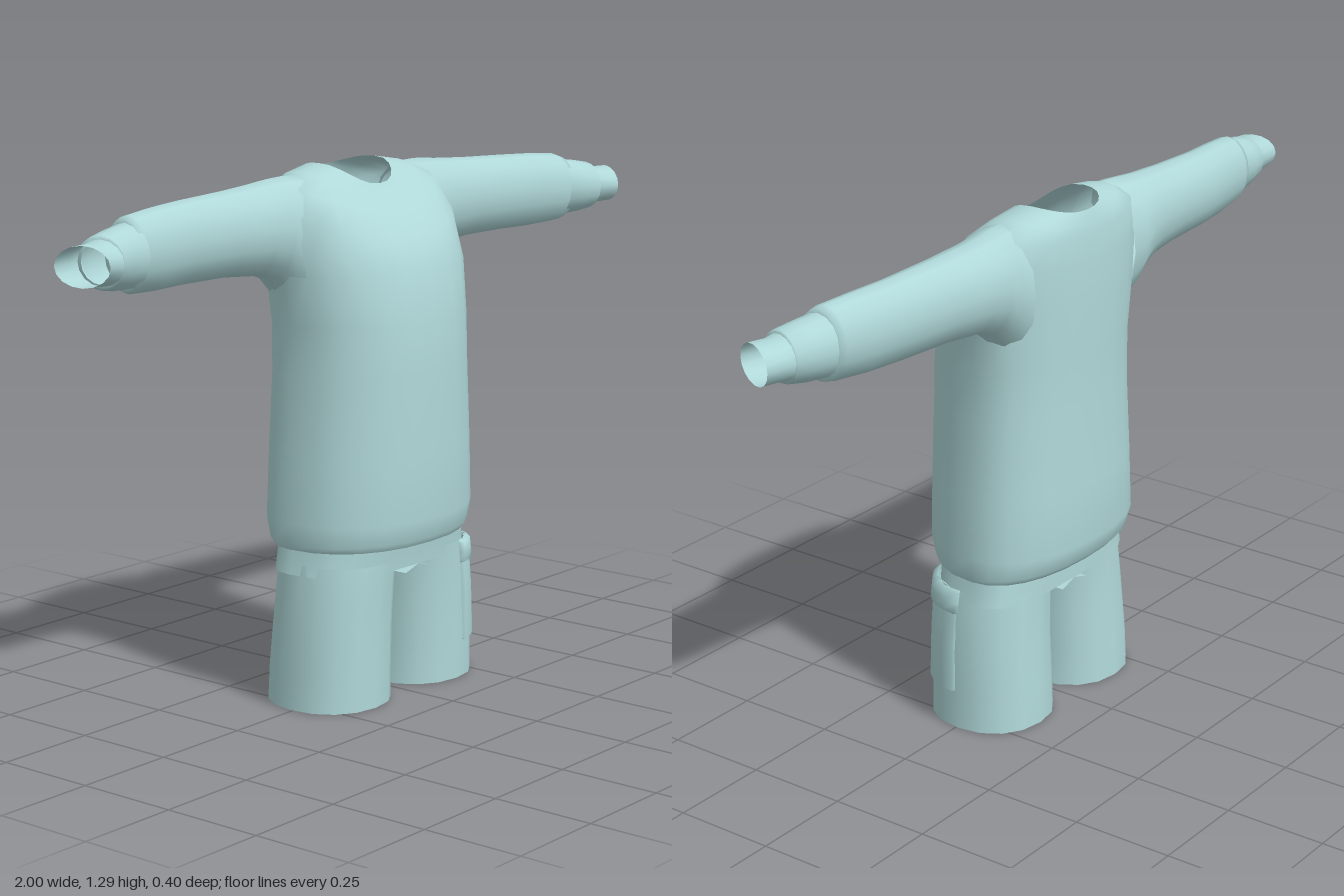
import * as THREE from 'three';

const TAU = Math.PI * 2;
const fabric = new THREE.MeshStandardMaterial({ color: 0xb0d8d9, side: THREE.DoubleSide });
fabric.name = 'paleTealFabric';

// Skin a surface over rows of points; closed rows share their seam, skip leaves openings
function loft(name, rows, closed = true, skip = () => false) {
  const n = rows[0].length, pos = [], idx = [];
  rows.forEach(r => r.forEach(p => pos.push(p.x, p.y, p.z)));
  for (let i = 0; i < rows.length - 1; i++) {
    for (let j = 0; j < (closed ? n : n - 1); j++) {
      const k = (j + 1) % n;
      const mid = rows[i][j].clone().add(rows[i][k]).add(rows[i + 1][j]).add(rows[i + 1][k]).multiplyScalar(0.25);
      if (skip(mid)) continue;
      const a = i * n + j, b = i * n + k, c = a + n, d = b + n;
      idx.push(a, c, b, b, c, d);
    }
  }
  const g = new THREE.BufferGeometry();
  g.setAttribute('position', new THREE.Float32BufferAttribute(pos, 3));
  g.setIndex(idx);
  g.computeVertexNormals();
  const mesh = new THREE.Mesh(g, fabric);
  mesh.name = name;
  return mesh;
}

const around = (n, f) => Array.from({ length: n }, (_, i) => f(i / n * TAU));
const power = (v, n) => Math.sign(v) * Math.abs(v) ** (2 / n);

// Body section: half width, middle z, front y and z, side y, back y and z
function bodyRing([w, zm, fy, fz, sy, by, bz], n = 2.3) {
  return around(24, t => {
    const s = Math.sin(t), k = Math.abs(power(s, n));
    return new THREE.Vector3(
      w * power(Math.cos(t), n),
      sy + ((s > 0 ? fy : by) - sy) * s * s,
      zm + ((s > 0 ? fz : bz) - zm) * k);
  });
}
const flat = (y, w, fz, bz) => [w, -0.03, y, fz, y, y, bz];

// Sleeve section: x, low y, high y, back z, front z, slant of the opening
function sleeveRing(side, [x, lo, hi, bz, fz, slant = 0]) {
  return around(16, t => {
    const s = Math.sin(t) * side;
    return new THREE.Vector3(side * (x + slant * s),
      (lo + hi) / 2 + (hi - lo) / 2 * Math.cos(t),
      (bz + fz) / 2 - (fz - bz) / 2 * s);
  });
}

// Trouser leg sections: y, inner x, outer x, back z, front z
const LEG = [
  [0, 0.016, 0.302, -0.15, 0.14],
  [0.09, 0.016, 0.299, -0.146, 0.14],
  [0.2, 0.014, 0.292, -0.138, 0.14],
  [0.3, 0.01, 0.28, -0.135, 0.143],
  [0.35, 0.002, 0.268, -0.135, 0.145],
];
function legSection(y) {
  let i = 0;
  while (i < LEG.length - 2 && y > LEG[i + 1][0]) i++;
  const f = (y - LEG[i][0]) / (LEG[i + 1][0] - LEG[i][0]);
  return LEG[i].map((v, k) => v + (LEG[i + 1][k] - v) * f);
}
function legPoint(side, y, t, scale = 1, out = 0) {
  const [, xi, xo, bz, fz] = legSection(y);
  return new THREE.Vector3(
    side * (xi + xo) / 2 + ((xo - xi) / 2 * scale + out) * power(Math.cos(t), 2.2),
    y,
    (bz + fz) / 2 + ((fz - bz) / 2 * scale + out) * power(Math.sin(t), 2.2));
}

export function createModel() {
  const model = new THREE.Group();
  model.name = 'sweaterAndShorts';

  // Sweater body up to the neckline, open where the sleeves join
  const body = [
    flat(0.385, 0.272, 0.178, -0.168),
    flat(0.4, 0.28, 0.188, -0.182),
    flat(0.45, 0.283, 0.2, -0.2),
    flat(0.6, 0.276, 0.2, -0.196),
    flat(0.8, 0.263, 0.198, -0.19),
    flat(0.92, 0.263, 0.193, -0.19),
    [0.277, -0.045, 1.05, 0.174, 1.04, 1.05, -0.19],
    [0.282, -0.06, 1.12, 0.132, 1.18, 1.15, -0.187],
    [0.255, -0.07, 1.175, 0.08, 1.245, 1.21, -0.182],
    [0.19, -0.075, 1.215, 0.038, 1.272, 1.24, -0.176],
    [0.104, -0.08, 1.236, 0.022, 1.286, 1.268, -0.165],
  ];
  model.add(loft('sweaterBody', body.map(r => bodyRing(r)), true,
    p => Math.abs(p.x) > 0.24 && p.y > 1.06 && p.y < 1.2 && Math.abs(p.z + 0.06) < 0.06));
  model.add(loft('sweaterHem', [
    bodyRing(flat(0.395, 0.235, 0.135, -0.125)), bodyRing(body[0]),
  ]));

  for (const side of [1, -1]) {
    const label = side > 0 ? 'left' : 'right';

    // Sleeve and two stepped cuffs
    const sleeveParts = {
      Sleeve: [
        [0.2, 0.95, 1.268, -0.165, 0.03],
        [0.25, 0.985, 1.268, -0.168, 0.018],
        [0.29, 1.028, 1.265, -0.166, 0.006],
        [0.34, 1.044, 1.26, -0.16, 0],
        [0.45, 1.054, 1.253, -0.148, -0.003],
        [0.6, 1.056, 1.247, -0.134, -0.002],
        [0.7, 1.056, 1.243, -0.118, 0.008],
        [0.79, 1.061, 1.236, -0.102, 0.02],
        [0.808, 1.066, 1.23, -0.098, 0.022],
        [0.808, 1.08, 1.21, -0.08, 0.01],
      ],
      Cuff: [
        [0.8, 1.074, 1.222, -0.096, 0.024, 0.01],
        [0.86, 1.078, 1.214, -0.084, 0.036, 0.012],
        [0.905, 1.086, 1.206, -0.074, 0.046, 0.014],
        [0.905, 1.098, 1.192, -0.06, 0.035, 0.014],
      ],
      InnerCuff: [
        [0.89, 1.092, 1.2, -0.072, 0.042, 0.015],
        [0.93, 1.098, 1.192, -0.066, 0.046, 0.02],
        [0.975, 1.1, 1.192, -0.06, 0.06, 0.025],
      ],
    };
    for (const [part, rings] of Object.entries(sleeveParts)) {
      model.add(loft(label + part, rings.map(r => sleeveRing(side, r))));
    }

    // Shorts leg with a turned-in hem
    model.add(loft(label + 'Leg', LEG.map(([y]) => around(16, t => legPoint(side, y, t)))));
    model.add(loft(label + 'LegHem', [0.64, 1].map(k => around(16, t => legPoint(side, 0, t, k)))));
  }

  // Hips of the shorts and the seat between the legs
  model.add(loft('shortsHips', [
    flat(0.325, 0.276, 0.143, -0.135),
    flat(0.36, 0.268, 0.146, -0.135),
    flat(0.42, 0.255, 0.155, -0.135),
  ].map(r => bodyRing(r, 3))));
  model.add(loft('crotch', [-0.05, 0, 0.05].map(x =>
    [-0.136, -0.06, 0.06, 0.144].map(z => new THREE.Vector3(x, 0.326 - Math.abs(x) * 0.3, z))), false));

  // Cargo pocket wrapped round the outer front of the left leg
  const pocketPatch = (name, y0, y1, t0, t1, thick) => {
    const rows = [y0, y0 + 0.006, (y0 + y1) / 2, y1 - 0.006, y1].map((y, i) => {
      const us = [0, 0.03, 0.2, 0.4, 0.6, 0.8, 0.97, 1];
      return us.map((u, j) => legPoint(1, y, t0 + (t1 - t0) * u, 1,
        i % 4 === 0 || j % 7 === 0 ? -0.004 : thick));
    });
    return loft(name, rows, false);
  };
  model.add(pocketPatch('cargoPocket', 0.09, 0.345, 0.04, 1.38, 0.006));
  model.add(pocketPatch('pocketFlap', 0.29, 0.35, 0.02, 1.4, 0.01));

  return model;
}
